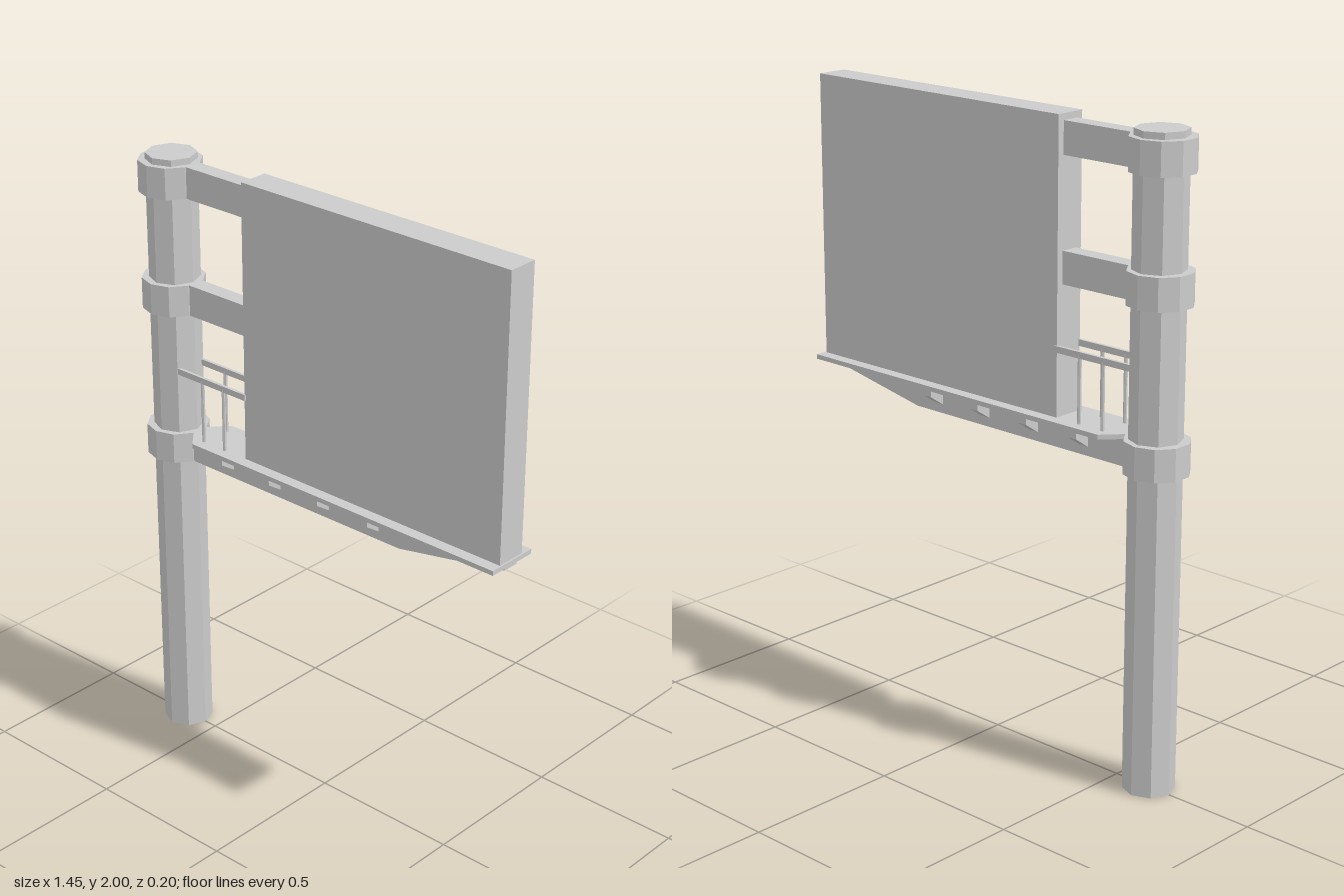
import * as THREE from 'three';

const POLE_X = -0.625;

export function createModel() {
  const group = new THREE.Group();
  const material = new THREE.MeshStandardMaterial({ color: 0xcccccc, flatShading: true });

  const add = (name, geometry, x = 0, y = 0, z = 0) => {
    const mesh = new THREE.Mesh(geometry, material);
    mesh.name = name;
    mesh.position.set(x, y, z);
    group.add(mesh);
    return mesh;
  };
  // Box given by its lower and upper limits
  const box = (name, x0, x1, y0, y1, z0, z1) =>
    add(name, new THREE.BoxGeometry(x1 - x0, y1 - y0, z1 - z0), (x0 + x1) / 2, (y0 + y1) / 2, (z0 + z1) / 2);
  // Flat outline extruded by depth, centred on its thickness
  const slab = (points, depth) => {
    const shape = new THREE.Shape(points.map(([a, b]) => new THREE.Vector2(a, b)));
    return new THREE.ExtrudeGeometry(shape, { depth, bevelEnabled: false }).translate(0, 0, -depth / 2);
  };

  // Pole with three clamping collars
  add('pole', new THREE.CylinderGeometry(0.08, 0.08, 2, 8), POLE_X, 1, 0);
  for (const y of [1.05, 1.55, 1.93]) {
    add('collar', new THREE.CylinderGeometry(0.1, 0.1, 0.1, 10), POLE_X - 0.005, y, 0);
  }

  // Display panel and its two upper arms
  box('panel', -0.285, 0.715, 1.1, 2, -0.05, 0.05);
  for (const y of [1.5, 1.88]) box('arm', -0.6, -0.285, y, y + 0.1, -0.028, 0.028);

  // Lower beam, tapering towards the free end
  add('lowerBeam', slab([[-0.6, 1.0], [0.32, 1.0], [0.715, 1.075], [0.715, 1.088], [-0.6, 1.088]], 0.056));

  // Walkway plate with a pointed end at the pole
  const plate = slab([[-0.54, -0.02], [-0.48, -0.088], [0.72, -0.088], [0.72, 0.088], [-0.48, 0.088], [-0.54, 0.02]], 0.015);
  add('walkway', plate.rotateX(-Math.PI / 2), 0, 1.0925, 0);

  // Gussets under the walkway and railings above it, on both sides
  const gusset = slab([[0.02, 1.086], [0.02, 1.025], [0.03, 1.03], [0.08, 1.063], [0.08, 1.086]], 0.032).rotateY(-Math.PI / 2);
  for (const side of [1, -1]) {
    for (const x of [-0.375, -0.175, 0.025, 0.225]) {
      add('gusset', gusset, x).rotation.y = side > 0 ? 0 : Math.PI;
    }
    const z = side * 0.05;
    box('handrail', -0.57, -0.28, 1.3, 1.32, z - 0.005, z + 0.005);
    for (const x of [-0.465, -0.375]) {
      add('railPost', new THREE.CylinderGeometry(0.006, 0.006, 0.22, 6), x, 1.2, z);
    }
  }
  return group;
}
